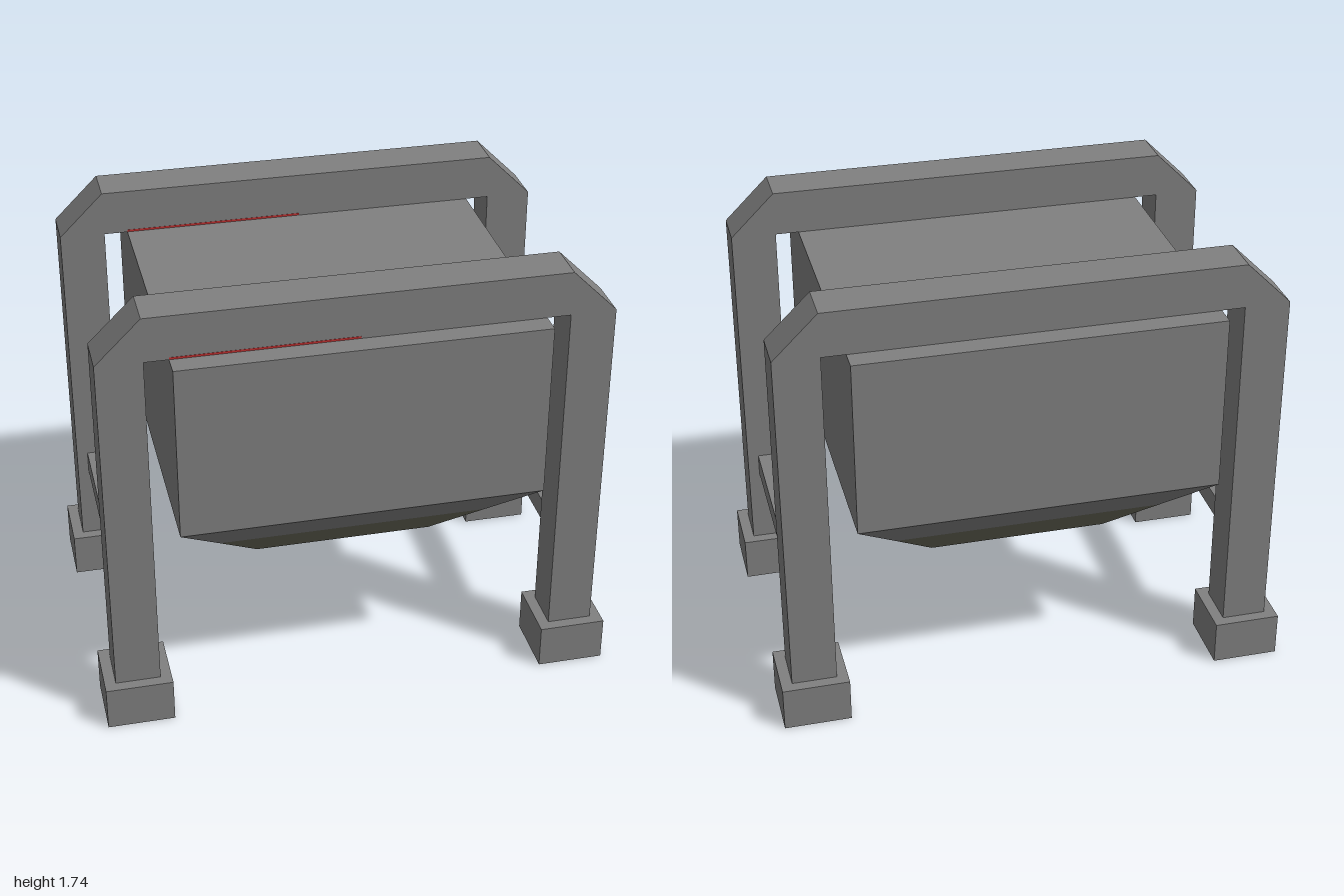
import * as THREE from 'three';

const steel = new THREE.MeshStandardMaterial({ color: 0x808080 });
steel.name = 'steelGrey';
const olive = new THREE.MeshStandardMaterial({ color: 0x6a6a5b });
olive.name = 'oliveGrey';
const red = new THREE.MeshStandardMaterial({ color: 0xc03030 });
red.name = 'markerRed';

export function createModel() {
  const model = new THREE.Group();
  model.name = 'hopperOnFrame';

  const add = (name, geometry, material, x = 0, y = 0, z = 0) => {
    const mesh = new THREE.Mesh(geometry, material);
    mesh.name = name;
    mesh.position.set(x, y, z);
    model.add(mesh);
    return mesh;
  };

  // Square block whose half width changes from bottom to top
  const taper = (y0, y1, half0, half1) => {
    const g = new THREE.BoxGeometry(2, y1 - y0, 2);
    g.translate(0, (y0 + y1) / 2, 0);
    const p = g.attributes.position;
    for (let i = 0; i < p.count; i++) {
      const half = p.getY(i) < (y0 + y1) / 2 ? half0 : half1;
      p.setX(i, p.getX(i) * half);
      p.setZ(i, p.getZ(i) * half);
    }
    g.computeVertexNormals();
    return g;
  };

  // Hopper: square body, sloping funnel and darker funnel tip
  add('hopperBody', taper(0.872, 1.567, 0.693, 0.693), steel);
  add('hopperFunnel', taper(0.7, 0.872, 0.52, 0.693), steel);
  add('hopperTip', taper(0.527, 0.7, 0.347, 0.52), olive);

  // Portal frame outline with chamfered upper corners
  const outline = [
    [0.957, 0.17], [0.957, 1.57], [0.785, 1.74], [-0.785, 1.74],
    [-0.957, 1.57], [-0.957, 0.17], [-0.783, 0.17], [-0.783, 1.567],
    [0.783, 1.567], [0.783, 0.17],
  ];
  const portal = new THREE.ExtrudeGeometry(
    new THREE.Shape(outline.map(([x, y]) => new THREE.Vector2(x, y))),
    { depth: 0.173, bevelEnabled: false },
  );
  portal.translate(0, 0, -0.0865);

  const foot = new THREE.BoxGeometry(0.26, 0.175, 0.26);
  const marker = new THREE.BoxGeometry(0.69, 0.008, 0.002);
  for (const z of [0.522, -0.522]) {
    add('portalFrame', portal, steel, 0, 0, z);
    // Thin marking at the lower front edge of the beam
    add('beamMarker', marker, red, -0.347, 1.572, z + 0.087);
    for (const x of [0.87, -0.87]) add('foot', foot, steel, x, 0.0875, z);
  }

  // Rails tying the two portals together
  const rail = new THREE.BoxGeometry(0.087, 0.087, 0.88);
  for (const x of [0.87, -0.87]) add('sideRail', rail, steel, x, 0.525, 0);

  return model;
}
